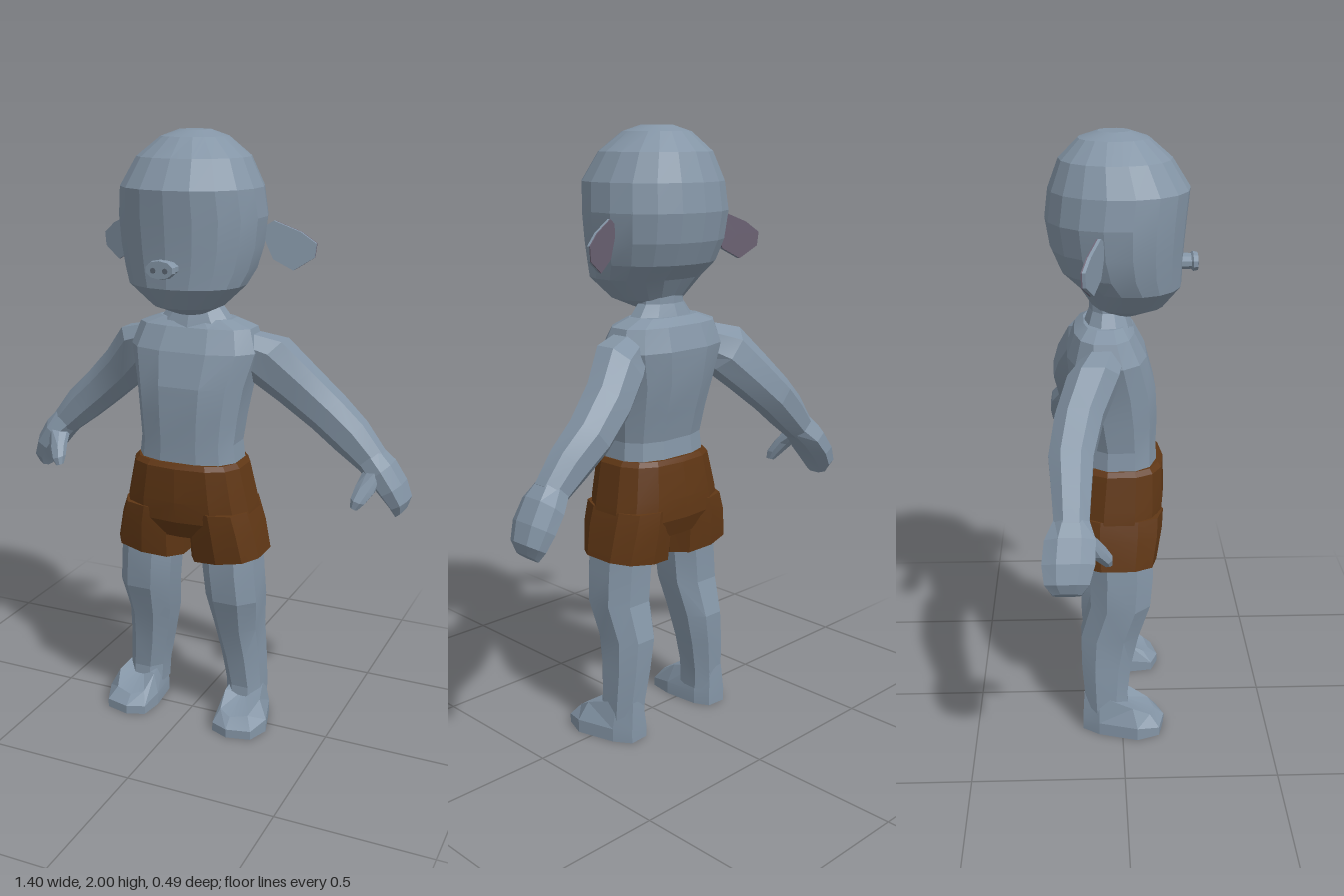
import * as THREE from 'three';
import { toCreasedNormals } from 'three/addons/utils/BufferGeometryUtils.js';

const mat = (name, color) => Object.assign(new THREE.MeshStandardMaterial({ color }), { name });

// Closed skin through rings of [x, y, z] points; the winding is fixed by the sign of the volume.
function loft(rings) {
  const n = rings[0].length, pts = rings.flat(), tris = [];
  for (let r = 0; r < rings.length - 1; r++) {
    for (let i = 0; i < n; i++) {
      const a = r * n + i, b = r * n + (i + 1) % n;
      tris.push([a, b, b + n], [a, b + n, a + n]);
    }
  }
  [0, rings.length - 1].forEach((r, end) => {
    const c = [0, 1, 2].map(k => rings[r].reduce((s, p) => s + p[k], 0) / n);
    const id = pts.push(c) - 1;
    for (let i = 0; i < n; i++) {
      const a = r * n + i, b = r * n + (i + 1) % n;
      tris.push(end ? [a, b, id] : [b, a, id]);
    }
  });
  const V = pts.map(p => new THREE.Vector3(...p));
  const volume = tris.reduce((s, [a, b, c]) => s + V[a].dot(V[b].clone().cross(V[c])), 0);
  if (volume < 0) tris.forEach(t => t.reverse());
  const g = new THREE.BufferGeometry();
  g.setAttribute('position', new THREE.Float32BufferAttribute(pts.flat(), 3));
  g.setIndex(tris.flat());
  return toCreasedNormals(g, 0.2);
}

// Rounded ring around centre c with half axes u and v; power below 1 squares it off.
function ring(c, u, v, n = 8, power = 1) {
  const soft = t => Math.sign(t) * Math.abs(t) ** power;
  return Array.from({ length: n }, (_, i) => {
    const a = (i + 0.5) / n * Math.PI * 2, s = soft(Math.cos(a)), t = soft(Math.sin(a));
    return c.map((k, j) => k + u[j] * s + v[j] * t);
  });
}

// Horizontal ring: height, centre x, half width, front z, back z.
const level = (n, power) => ([y, x, w, zf, zb]) =>
  ring([x, y, (zf + zb) / 2], [w, 0, 0], [0, 0, (zf - zb) / 2], n, power);

// Limb ring: centre, half thickness across the limb in xy, half depth in z, and limb direction.
const slanted = ([x, y, z, w, d, dx, dy]) => {
  const l = Math.hypot(dx, dy);
  return ring([x, y, z], [-dy / l * w, dx / l * w, 0], [0, 0, d], 8, 0.9);
};

export function createModel() {
  const model = new THREE.Group();
  const skin = mat('skin', 0x8495a6), cloth = mat('brown cloth', 0x603715);
  const earBack = mat('ear back', 0x6a6172), dark = mat('nostril', 0x59636f);

  const add = (name, geometry, material) => {
    const m = new THREE.Mesh(geometry, material);
    m.name = name;
    model.add(m);
    return m;
  };
  const pair = (name, rings, material) => {
    add('left' + name, loft(rings), material);
    add('right' + name, loft(rings.map(r => r.map(([x, y, z]) => [-x, y, z]))), material);
  };

  // Head with a flat face and a tapering jaw
  add('head', loft([
    [2.0, 0, 0.05, 0.03, -0.07], [1.98, 0, 0.105, 0.09, -0.13], [1.92, 0, 0.18, 0.16, -0.19],
    [1.83, 0, 0.226, 0.217, -0.224], [1.74, 0, 0.237, 0.208, -0.235], [1.65, 0, 0.229, 0.2, -0.22],
    [1.58, 0, 0.212, 0.196, -0.19], [1.53, 0, 0.19, 0.194, -0.135], [1.46, 0, 0.115, 0.138, -0.09],
    [1.43, 0, 0.05, 0.06, -0.06],
  ].map(level(18, 0.94))), skin);

  // Snout with two nostrils
  add('snout', loft([[0.17, 0.045, 0.026], [0.222, 0.042, 0.024], [0.228, 0.051, 0.031],
    [0.243, 0.047, 0.028]].map(([z, w, h]) => ring([0, 1.597, z], [w, 0, 0], [0, h, 0], 10))), skin);
  for (const s of [-1, 1]) {
    const nostril = add(s > 0 ? 'leftNostril' : 'rightNostril',
      new THREE.CylinderGeometry(0.009, 0.009, 0.004, 8), dark);
    nostril.rotation.x = Math.PI / 2;
    nostril.position.set(s * 0.02, 1.595, 0.243);
  }

  // Drooping leaf ears: a front sheet and a darker back sheet
  const outline = [[0.21, 1.7], [0.25, 1.725], [0.33, 1.69], [0.375, 1.655], [0.37, 1.61],
    [0.31, 1.57], [0.25, 1.605]];
  const depth = x => -0.065 - (x - 0.24) * 0.38;
  pair('Ear', [outline.map(([x, y]) => [x, y, depth(x) + 0.005]),
    outline.map(([x, y]) => [x, y, depth(x) - 0.005])], skin);
  pair('EarBack', [outline.map(([x, y]) => [x, y, depth(x) - 0.005]),
    outline.map(([x, y]) => [x, y, depth(x) - 0.009])], earBack);

  // Neck and torso
  add('neck', loft([[1.53, 0, 0.08, 0.03, -0.1], [1.45, 0, 0.088, 0.02, -0.1],
    [1.41, 0, 0.12, 0.035, -0.115], [1.36, 0, 0.18, 0.05, -0.13]].map(level(10))), skin);
  add('torso', loft([
    [1.41, 0, 0.13, 0.02, -0.12], [1.385, 0, 0.2, 0.045, -0.15], [1.31, 0, 0.225, 0.085, -0.175],
    [1.2, 0, 0.195, 0.115, -0.165], [1.1, 0, 0.18, 0.12, -0.14], [1.01, 0, 0.17, 0.117, -0.12],
    [0.9, 0, 0.182, 0.122, -0.13],
  ].map(level(12, 0.75))), skin);

  // Arms slope down and slightly backwards
  pair('Arm', [
    [0.16, 1.31, -0.06, 0.07, 0.07, 1, -0.5], [0.23, 1.28, -0.09, 0.093, 0.085, 1, -0.9],
    [0.32, 1.19, -0.135, 0.083, 0.078, 1, -0.9], [0.42, 1.1, -0.16, 0.075, 0.072, 1, -0.88],
    [0.5, 1.03, -0.16, 0.07, 0.063, 1, -0.95], [0.575, 0.955, -0.16, 0.053, 0.055, 1, -1.1],
  ].map(slanted), skin);

  // Mitten hands with thumbs
  pair('Hand', [
    [0.56, 0.97, -0.16, 0.052, 0.054, 1, -1.1], [0.605, 0.925, -0.165, 0.052, 0.08, 1, -1.2],
    [0.645, 0.87, -0.17, 0.046, 0.083, 1, -1.6], [0.672, 0.82, -0.175, 0.036, 0.07, 1, -1.8],
    [0.675, 0.787, -0.175, 0.022, 0.045, 1, -1.2],
  ].map(slanted), skin);
  pair('Thumb', [
    [0.59, 0.935, -0.13, 0.04, 0.035, 1, -3], [0.575, 0.88, -0.09, 0.034, 0.03, -0.3, -1],
    [0.56, 0.845, -0.065, 0.026, 0.025, -0.3, -1], [0.55, 0.82, -0.055, 0.014, 0.014, -0.3, -1],
  ].map(slanted), skin);

  // Shorts: seat and two flared legs whose hems rise outwards
  add('shortsSeat', loft([
    [0.95, 0, 0.18, 0.13, -0.135], [0.935, 0, 0.193, 0.142, -0.145], [0.82, 0, 0.218, 0.146, -0.163],
    [0.75, 0, 0.233, 0.138, -0.163], [0.69, 0, 0.235, 0.11, -0.14],
  ].map(level(14, 0.75))), cloth);
  pair('ShortsLeg', [
    [0.79, 0.115, 0.108, 0.138, -0.158], [0.73, 0.125, 0.118, 0.135, -0.16],
    [0.615, 0.137, 0.127, 0.117, -0.147],
  ].map(level(10, 0.75)).map((r, i) => r.map(([x, y, z]) => [x, i === 2 ? y + (x - 0.137) * 0.13 : y, z])), cloth);

  // Legs
  pair('Leg', [
    [0.68, 0.145, 0.1, 0.105, -0.115], [0.58, 0.152, 0.1, 0.11, -0.112],
    [0.47, 0.161, 0.099, 0.1, -0.112], [0.35, 0.162, 0.082, 0.062, -0.145],
    [0.24, 0.175, 0.074, 0.035, -0.142], [0.13, 0.188, 0.067, 0.022, -0.132],
    [0.06, 0.19, 0.066, 0.03, -0.13],
  ].map(level(8, 0.85)), skin);

  // Feet: outlines stacked from sole to ankle, low at the toes
  const sole = [[0.155, -0.13], [0.225, -0.135], [0.262, -0.08], [0.3, 0.05], [0.272, 0.125],
    [0.19, 0.145], [0.13, 0.12], [0.118, 0.04], [0.13, -0.08]];
  const top = z => 0.14 - Math.max(0, z + 0.02) * 0.62;
  pair('Foot', [
    sole.map(([x, z]) => [x, 0, z]),
    sole.map(([x, z]) => [x, z > 0.1 ? 0.03 : 0.045, z]),
    sole.map(([x, z]) => {
      const k = 0.72, px = 0.192 + (x - 0.192) * k, pz = -0.03 + (z + 0.03) * (z > 0 ? 0.8 : 0.95);
      return [px, top(pz), pz];
    }),
  ], skin);

  return model;
}
